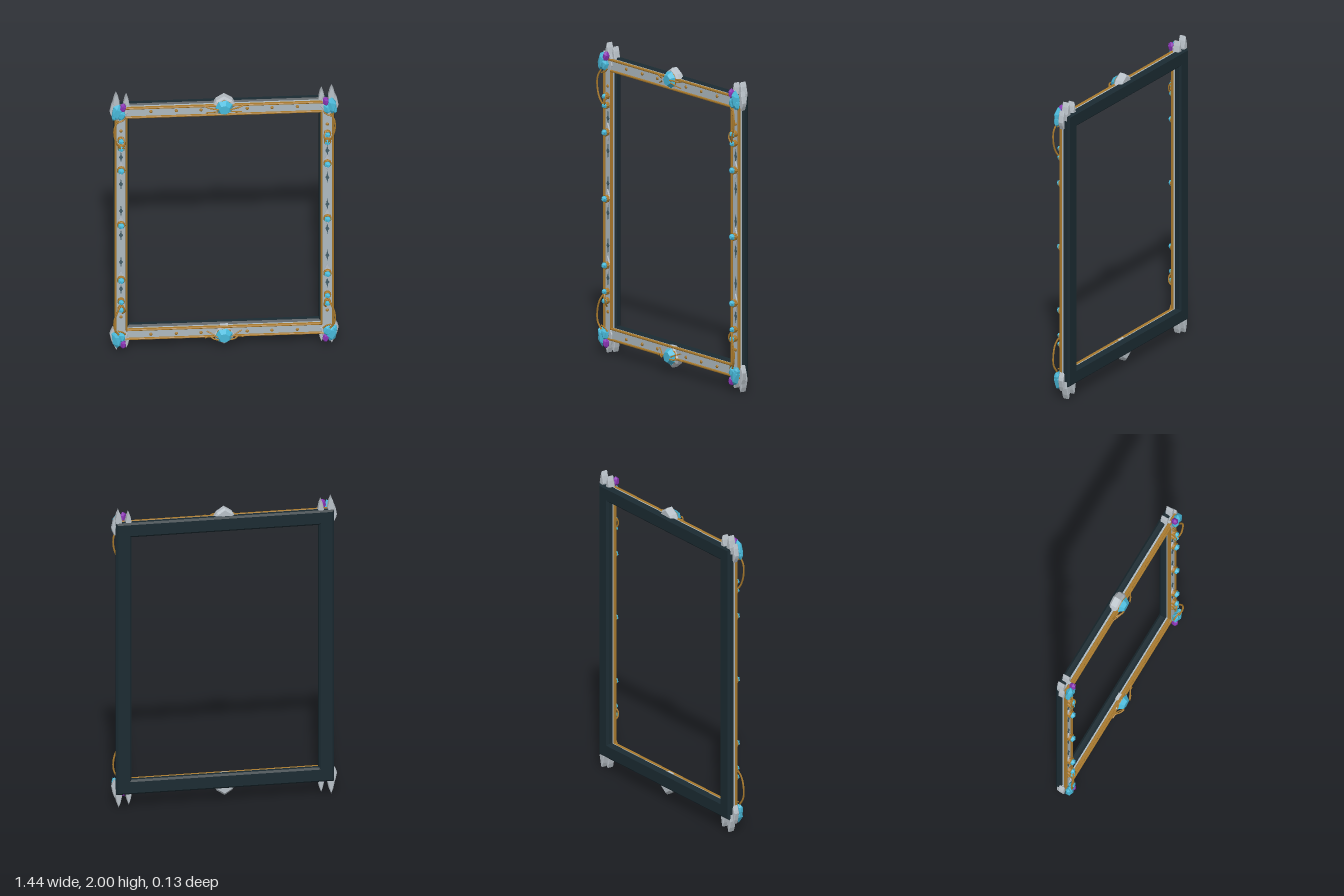
import * as THREE from 'three';

const paint = (color) => new THREE.MeshStandardMaterial({ color, flatShading: true });

export function createModel() {
  const root = new THREE.Group();
  const dark = paint(0x1b2b32), silver = paint(0xaebac0), pale = paint(0xb9c1c8);
  const gold = paint(0xa8792c), cyan = paint(0x48b9da), violet = paint(0x8a34b4), slate = paint(0x46606a);

  function add(name, geometry, material, x = 0, y = 0, z = 0) {
    const mesh = new THREE.Mesh(geometry, material);
    mesh.name = name;
    mesh.position.set(x, y, z);
    root.add(mesh);
    return mesh;
  }
  const polygon = (points) => new THREE.Shape(points.map(([x, y]) => new THREE.Vector2(x, y)));

  // Chamfered solid between two depths; the bevel stays inside the outline
  function slab(shape, z0, z1, bevel) {
    const g = new THREE.ExtrudeGeometry(shape, {
      depth: z1 - z0 - 2 * bevel, bevelEnabled: bevel > 0, bevelSize: bevel,
      bevelThickness: bevel, bevelOffset: -bevel, bevelSegments: 1, curveSegments: 4,
    });
    return g.translate(0, 0, z0 + bevel);
  }

  // Rectangular ring centred on y = 1
  function ring(w, h, iw, ih) {
    const rect = (a, b) => [[-a, 1 - b], [a, 1 - b], [a, 1 + b], [-a, 1 + b]];
    const s = polygon(rect(w, h));
    s.holes.push(polygon(rect(iw, ih)));
    return s;
  }
  const tube = (points, r) => new THREE.TubeGeometry(
    new THREE.CatmullRomCurve3(points.map((p) => new THREE.Vector3(...p))), 16, r, 6);
  const gem = (rx, ry, rz) => new THREE.IcosahedronGeometry(1, 0).rotateZ(0.3).scale(rx, ry, rz);

  // Frame layers
  add('backFrame', slab(ring(0.695, 0.915, 0.597, 0.817), -0.063, -0.015, 0.012), dark);
  add('facePanel', slab(ring(0.685, 0.905, 0.609, 0.829), -0.03, 0.004, 0.004), silver);
  add('outerRail', slab(ring(0.688, 0.908, 0.676, 0.896), -0.005, 0.016, 0.003), gold);
  add('innerRail', slab(ring(0.618, 0.838, 0.606, 0.826), -0.005, 0.016, 0.003), gold);

  // Outlines of the flat crystal spikes and plates
  const spike = (w, bottom, top, s) => polygon([
    [0, bottom], [w * 0.7, bottom + 0.03], [w, top - 0.075], [w * 0.55, top - 0.03], [0, top],
    [-w * 0.55, top - 0.03], [-w, top - 0.075], [-w * 0.7, bottom + 0.03],
  ].map(([x, y]) => [x, s * y]));
  const rivet = (x, y) => add('rivet', new THREE.SphereGeometry(0.011, 8, 6).scale(1, 1, 0.7), gold, x, y, 0.007);

  for (const s of [-1, 1]) {
    const at = (y) => 1 + s * (y - 1);

    // Top and bottom crests with their faceted gem and whiskers
    add('crest', slab(polygon([[-0.07, 0.9], [-0.025, 0.825], [0.025, 0.825], [0.07, 0.9],
      [0.05, 0.935], [0, 0.968], [-0.05, 0.935]].map(([x, y]) => [x, 1 + s * y])), -0.046, 0.014, 0.012), pale);
    add('crestSetting', new THREE.CylinderGeometry(0.05, 0.054, 0.012, 8).rotateX(Math.PI / 2), gold, 0, at(1.893), 0.015);
    const stone = add('crestGem', new THREE.CylinderGeometry(0.034, 0.056, 0.03, 7).rotateX(Math.PI / 2), cyan, 0, at(1.893), 0.034);
    stone.rotation.z = 0.2;

    for (const m of [-1, 1]) {
      add('crestWhisker', tube([[m * 0.035, at(1.90), 0.053], [m * 0.065, at(1.9), 0.042],
        [m * 0.09, at(1.893), 0.024], [m * 0.12, at(1.905), 0.018]], 0.005), gold);
      add('crestWhisker', tube([[m * 0.04, at(1.885), 0.05], [m * 0.07, at(1.87), 0.035], [m * 0.11, at(1.855), 0.016]], 0.004), gold);
      for (const x of [0.145, 0.3, 0.46]) rivet(m * x, at(1.872));
      rivet(m * 0.648, at(1.728));

      // Corner spikes: two tall ones behind, two short ones beside the gems
      for (const [x, w, low, high, z0, z1] of [
        [0.677, 0.022, 1.82, 2.0, -0.052, -0.006], [0.613, 0.02, 1.84, 1.985, -0.052, -0.006],
        [0.698, 0.02, 1.82, 1.945, -0.03, 0.006], [0.622, 0.018, 1.83, 1.94, -0.03, 0.01],
      ]) add('cornerSpike', slab(spike(w, low - 1, high - 1, s), z0, z1, 0.005), pale, m * x, 1, 0);

      // Corner gem cluster
      for (const [x, y, rx, ry, rz, mat] of [
        [0.675, 1.89, 0.035, 0.066, 0.026, cyan], [0.648, 1.868, 0.03, 0.043, 0.024, cyan],
        [0.692, 1.865, 0.018, 0.04, 0.02, cyan], [0.637, 1.925, 0.022, 0.036, 0.024, violet],
      ]) {
        const g = add('cornerGem', gem(rx, ry, rz), mat, m * x, at(y), 0.03);
        g.rotation.z = m * s * 0.12;
      }

      // Vines looping from the corner down to the small side gems
      add('vine', tube([[m * 0.665, at(1.84), 0.045], [m * 0.69, at(1.79), 0.055], [m * 0.692, at(1.72), 0.056],
        [m * 0.67, at(1.65), 0.054], [m * 0.645, at(1.6), 0.035]], 0.006), gold);
      add('vine', tube([[m * 0.62, at(1.85), 0.03], [m * 0.64, at(1.828), 0.036], [m * 0.672, at(1.815), 0.04]], 0.005), gold);
      add('vine', tube([[m * 0.64, at(1.69), 0.02], [m * 0.628, at(1.665), 0.04], [m * 0.632, at(1.63), 0.045],
        [m * 0.655, at(1.595), 0.03]], 0.005), gold);
    }
  }

  // Side gems in gold collars, the larger ones on diamond plates
  const diamond = polygon([[0, -0.06], [0.027, 0], [0, 0.06], [-0.027, 0]]);
  const groove = polygon([[0, -0.045], [0.005, -0.012], [0.013, 0], [0.005, 0.012],
    [0, 0.045], [-0.005, 0.012], [-0.013, 0], [-0.005, -0.012]]);
  for (const m of [-1, 1]) {
    const x = m * 0.648;
    for (const y of [1.665, 1.605, 1.432, 1.003, 0.574, 0.405, 0.345]) {
      const big = y > 0.5 && y < 1.5;
      const r = big ? 0.023 : 0.02;
      if (big) add('diamondPlate', slab(diamond, 0, 0.012, 0.003), pale, x, y, 0);
      add('gemCollar', new THREE.CylinderGeometry(r, r * 1.1, 0.02, 8).rotateX(Math.PI / 2), gold, x, y, 0.018);
      add('gemCollar', new THREE.TorusGeometry(r, 0.004, 5, 10), gold, x, y, 0.028);
      add('sideGem', gem(r, r * 0.95, r), cyan, x, y, 0.034);
    }
    for (const y of [1.52, 1.31, 1.1, 0.91, 0.7, 0.49]) add('grooveInlay', slab(groove, 0, 0.008, 0), slate, x, y, 0);
  }
  return root;
}
